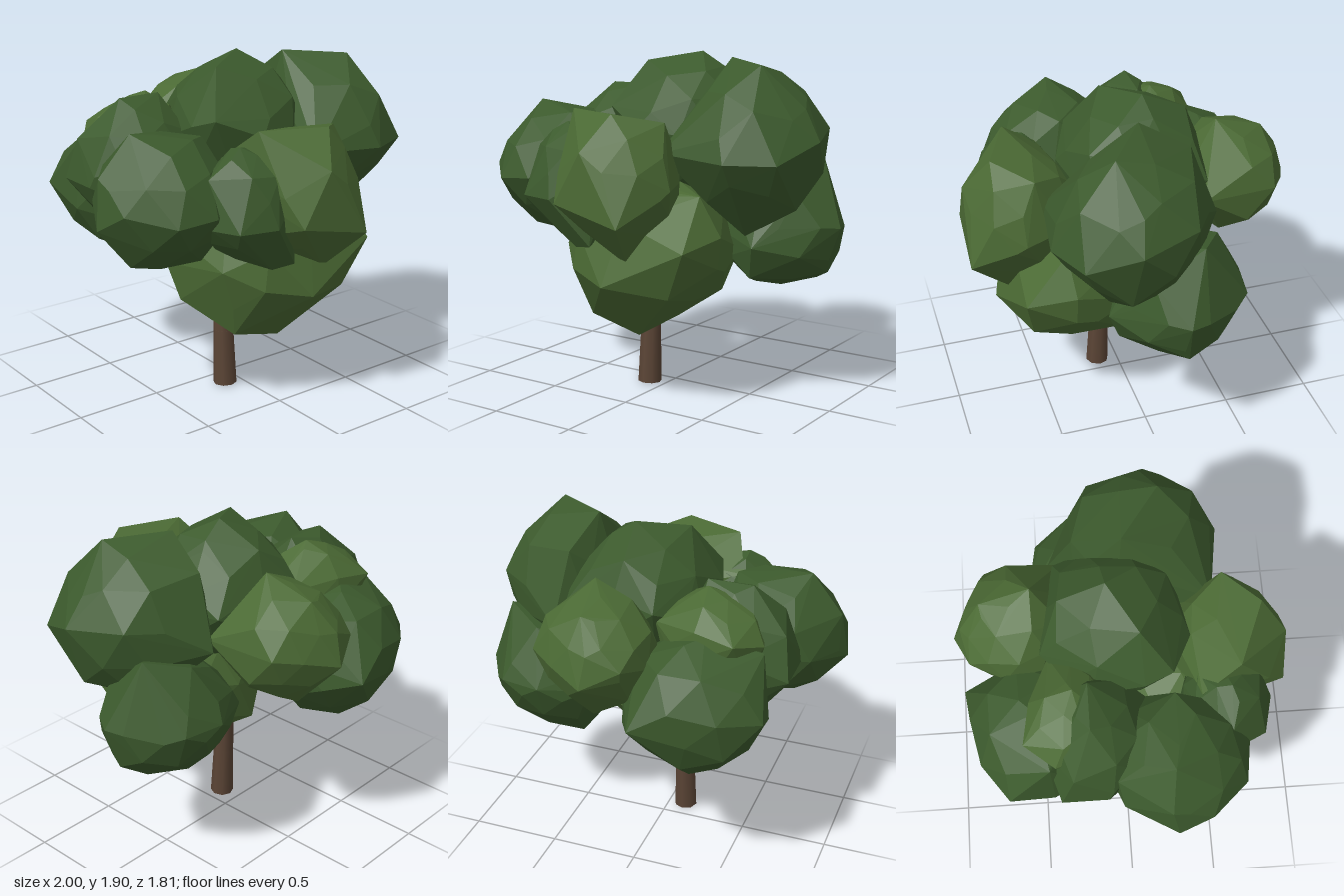
import * as THREE from 'three';
import { ConvexGeometry } from 'three/addons/geometries/ConvexGeometry.js';

const darkLeaf = new THREE.MeshStandardMaterial({ color: 0x3c5a2d, flatShading: true });
const lightLeaf = new THREE.MeshStandardMaterial({ color: 0x4b6a34, flatShading: true });
const bark = new THREE.MeshStandardMaterial({ color: 0x5a4435 });

// Repeatable noise in -1..1, the same for every corner sharing a position
function noise(v, seed) {
  const s = Math.sin(Math.round(v.x * 100) * 1.27 + Math.round(v.y * 100) * 3.11 + Math.round(v.z * 100) * 7.47 + seed * 17.3) * 4375.85;
  return (s - Math.floor(s)) * 2 - 1;
}

// Faceted leaf ball filling the box lo..hi, with a few extra corners standing out
function leafClump(name, material, seed, lo, hi, corners) {
  const ball = new THREE.IcosahedronGeometry(1, 1);
  ball.rotateX(seed * 0.9);
  ball.rotateY(seed * 1.7);
  const low = new THREE.Vector3(...lo), high = new THREE.Vector3(...hi);
  const centre = low.clone().add(high).multiplyScalar(0.5);
  const radii = high.clone().sub(low).multiplyScalar(0.5);
  const points = corners.map((c) => new THREE.Vector3(...c));
  const seen = new Set();
  for (let i = 0; i < ball.attributes.position.count; i++) {
    const v = new THREE.Vector3().fromBufferAttribute(ball.attributes.position, i);
    const key = v.toArray().map((n) => Math.round(n * 50)).join();
    if (seen.has(key)) continue;
    seen.add(key);
    points.push(v.multiplyScalar(0.97 + 0.05 * noise(v, seed)).multiply(radii).add(centre));
  }
  const mesh = new THREE.Mesh(new ConvexGeometry(points), material);
  mesh.name = name;
  return mesh;
}

// Tapered round length of wood between two points
function limb(name, a, b, r0, r1) {
  const from = new THREE.Vector3(...a), to = new THREE.Vector3(...b);
  const dir = to.clone().sub(from);
  const mesh = new THREE.Mesh(new THREE.CylinderGeometry(r1, r0, dir.length(), 8), bark);
  mesh.name = name;
  mesh.position.copy(from).add(to).multiplyScalar(0.5);
  mesh.quaternion.setFromUnitVectors(new THREE.Vector3(0, 1, 0), dir.normalize());
  return mesh;
}

export function createModel() {
  const tree = new THREE.Group();
  tree.name = 'tree';

  // Trunk, leaning slightly backwards
  const trunk = new THREE.Group();
  trunk.name = 'trunk';
  trunk.add(
    limb('lowerTrunk', [-0.1, 0, 0.12], [-0.1, 0.33, 0.105], 0.068, 0.058),
    limb('upperTrunk', [-0.1, 0.31, 0.105], [-0.09, 1.0, 0.07], 0.058, 0.045)
  );
  tree.add(trunk);

  const foliage = new THREE.Group();
  foliage.name = 'foliage';
  foliage.add(
    // Front and left side
    leafClump('leftClump', darkLeaf, 1, [-0.98, 0.87, -0.16], [-0.24, 1.6, 0.64],
      [[-1, 1.14, 0.24], [-0.96, 1.4, 0.2], [-0.78, 1.61, 0.22], [-0.83, 0.92, 0.28], [-0.76, 1.2, 0.62],
        [-0.54, 1.22, 0.65], [-0.95, 1.25, 0.42], [-0.55, 0.86, 0.25], [-0.35, 1.54, 0.25]]),
    leafClump('frontClump', lightLeaf, 2, [-0.29, 0.9, 0.25], [0.38, 1.61, 0.88],
      [[-0.25, 1.62, 0.6], [0.1, 1.62, 0.74], [0.3, 1.57, 0.55], [0.14, 0.83, 0.67], [-0.17, 1.15, 0.88], [0.24, 1.06, 0.9],
        [0.38, 1.23, 0.62], [0, 1.43, 0.88], [-0.34, 1.45, 0.4], [-0.22, 1.3, 0.78]]),
    leafClump('frontLeftClump', darkLeaf, 3, [-0.54, 0.9, 0.28], [0, 1.54, 0.78],
      [[-0.55, 1.15, 0.6], [-0.53, 1.4, 0.55], [-0.2, 0.88, 0.66], [-0.08, 0.9, 0.7], [-0.48, 1.15, 0.75],
        [-0.27, 1.15, 0.8], [-0.33, 1.54, 0.55]]),
    leafClump('lowerFrontClump', lightLeaf, 4, [-0.48, 0.45, -0.16], [0.53, 1.25, 0.72],
      [[0.04, 0.37, 0.42], [-0.27, 0.45, 0.43], [-0.45, 0.62, 0.18], [-0.5, 0.83, 0.12], [0.53, 0.8, 0.4], [0.55, 0.97, 0.4],
        [0.43, 1.18, 0.42], [0.02, 0.7, 0.74], [0.48, 0.92, 0.66], [0.35, 0.65, 0.6], [-0.1, 0.62, -0.12]]),
    // Right side
    leafClump('upperRightClump', darkLeaf, 5, [0.21, 1.0, -0.31], [0.97, 1.85, 0.54],
      [[0.38, 1.88, 0.02], [0.68, 1.86, 0.23], [1, 1.48, 0.18], [0.9, 1.64, 0.15], [0.6, 0.96, 0.24], [0.88, 1.12, 0.2],
        [0.65, 1.38, 0.56], [0.23, 1.4, 0.5], [0.9, 1.38, 0.45], [0.5, 1.35, -0.38], [0.45, 1.74, -0.24]]),
    leafClump('lowerRightClump', darkLeaf, 6, [0.22, 0.62, -0.49], [0.98, 1.3, 0.22],
      [[1, 0.99, -0.08], [0.92, 0.74, -0.1], [0.42, 0.6, -0.2], [0.83, 1.36, -0.2], [0.79, 1.0, -0.46], [0.6, 0.72, 0.19],
        [0.62, 1.3, -0.34], [0.3, 0.98, -0.38], [0.64, 0.66, -0.06], [0.56, 1.0, -0.5], [0.65, 0.9, 0.26]]),
    // Crown and back
    leafClump('crownClump', darkLeaf, 7, [-0.31, 1.08, -0.45], [0.5, 1.87, 0.36],
      [[0.13, 1.9, -0.08], [-0.13, 1.85, 0.08], [0.26, 1.82, -0.1], [0.1, 1.78, -0.33], [0.43, 1.5, -0.35],
        [-0.31, 1.55, 0.1], [-0.29, 1.45, -0.17], [-0.1, 1.55, -0.44], [-0.02, 1.5, 0.36], [-0.26, 1.6, 0.25]]),
    leafClump('backRightClump', lightLeaf, 8, [-0.17, 1.05, -0.88], [0.48, 1.69, -0.25],
      [[0.2, 1.73, -0.47], [0.12, 1.31, -0.91], [0.15, 1.03, -0.66], [0.45, 1.4, -0.73], [-0.07, 1.4, -0.82],
        [0.1, 1.62, -0.73], [0.48, 1.4, -0.32], [0.1, 1.48, -0.86]]),
    leafClump('backLeftClump', darkLeaf, 9, [-0.77, 0.72, -0.86], [0.06, 1.5, -0.1],
      [[-0.77, 1.15, -0.65], [-0.57, 1.15, -0.77], [-0.12, 1.1, -0.88], [-0.35, 0.7, -0.56], [-0.35, 0.87, -0.75],
        [-0.7, 1.43, -0.42], [-0.4, 1.5, -0.48]]),
    leafClump('innerLeftClump', darkLeaf, 10, [-0.81, 0.9, -0.47], [-0.14, 1.68, 0.13],
      [[-0.82, 1.25, -0.37], [-0.82, 1.25, -0.12], [-0.57, 1.69, -0.2], [-0.32, 1.69, -0.2], [-0.3, 1.3, 0.13], [-0.78, 1.48, -0.3]]),
    leafClump('upperLeftClump', lightLeaf, 11, [-0.68, 1.12, -0.54], [-0.1, 1.68, -0.06],
      [[-0.57, 1.5, -0.55], [-0.69, 1.45, -0.39], [-0.1, 1.5, -0.4], [-0.35, 1.69, -0.28]])
  );
  tree.add(foliage);
  return tree;
}
